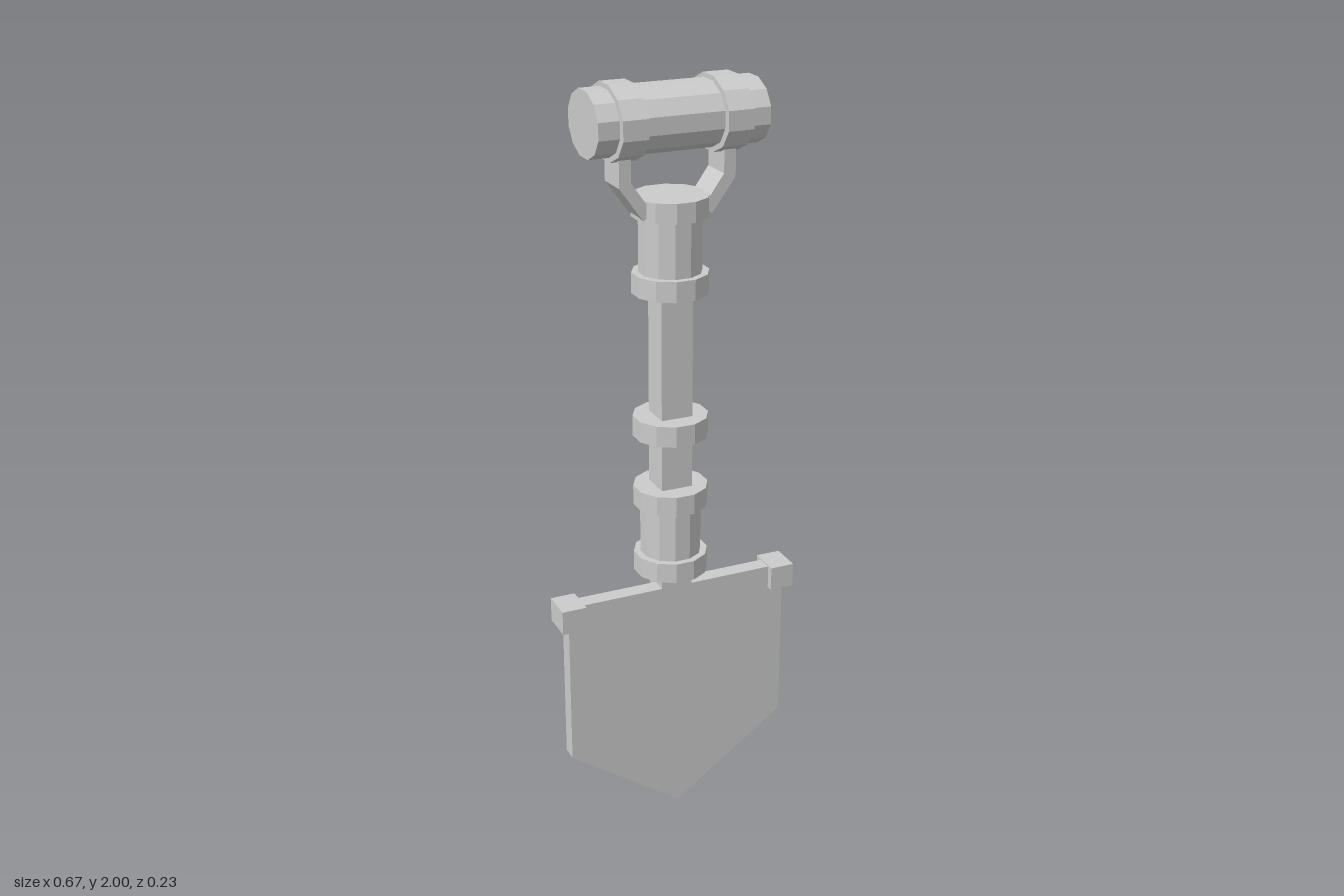
import * as THREE from 'three';

const material = new THREE.MeshStandardMaterial({ color: 0xcccccc, flatShading: true });
const CX = -0.004; // shaft axis
const FLAT = Math.cos(Math.PI / 12);

function add(group, name, geometry) {
  const mesh = new THREE.Mesh(geometry, material);
  mesh.name = name;
  group.add(mesh);
}

function box(x0, x1, y0, y1, z0, z1) {
  return new THREE.BoxGeometry(x1 - x0, y1 - y0, z1 - z0)
    .translate((x0 + x1) / 2, (y0 + y1) / 2, (z0 + z1) / 2);
}

// Twelve-sided drum, radius measured to the flats
function drum(r, length) {
  return new THREE.CylinderGeometry(r / FLAT, r / FLAT, length, 12).rotateY(Math.PI / 12);
}

function upright(r, y0, y1) {
  return drum(r, y1 - y0).translate(CX, (y0 + y1) / 2, 0);
}

// Oval drum lying along x
function lying(ry, rz, x0, x1) {
  return drum(1, x1 - x0).rotateZ(Math.PI / 2).scale(1, ry, rz)
    .translate((x0 + x1) / 2, 1.91, -0.001);
}

function plate(points, z0, z1, holePoints) {
  const vec = (list) => list.map(([x, y]) => new THREE.Vector2(x, y));
  const shape = new THREE.Shape(vec(points));
  if (holePoints) shape.holes.push(new THREE.Path(vec(holePoints)));
  return new THREE.ExtrudeGeometry(shape, { depth: z1 - z0, bevelEnabled: false }).translate(0, 0, z0);
}

export function createModel() {
  const group = new THREE.Group();
  group.name = 'shovel';

  // Cross grip with two collars
  add(group, 'grip', lying(0.079, 0.095, -0.225, 0.215));
  add(group, 'gripCollarRight', lying(0.09, 0.115, -0.172, -0.107));
  add(group, 'gripCollarLeft', lying(0.09, 0.115, 0.095, 0.161));

  // Bent fork arms joining grip and shaft
  for (const side of [-1, 1]) {
    const arm = [[0.152, 1.85], [0.152, 1.76], [0.09, 1.675], [0.07, 1.69], [0.075, 1.705], [0.121, 1.77], [0.121, 1.85]]
      .map(([x, y]) => [CX + side * x, y]);
    add(group, side < 0 ? 'forkArmRight' : 'forkArmLeft', plate(arm, -0.043, 0.046));
  }

  // Square shaft
  add(group, 'shaft', box(-0.046, 0.039, 0.675, 1.69, -0.041, 0.041));

  // Sockets and rings along the shaft
  add(group, 'upperSocket', upright(0.077, 1.5, 1.7));
  add(group, 'lowerSocket', upright(0.077, 0.74, 0.93));
  for (const [y0, y1] of [[1.671, 1.722], [1.477, 1.53], [1.097, 1.152], [0.904, 0.958], [0.714, 0.768]]) {
    add(group, 'shaftRing', upright(0.094, y0, y1));
  }

  // Blade: thin front panel with a raised rim behind
  const outline = [[-0.31, 0.675], [-0.31, 0.22], [0, 0], [0.31, 0.22], [0.31, 0.675]];
  const inner = [[-0.262, 0.62], [-0.262, 0.245], [0, 0.06], [0.262, 0.245], [0.262, 0.62]];
  add(group, 'bladePanel', plate(inner, 0.03, 0.041));
  add(group, 'bladeRim', plate(outline, -0.003, 0.041, inner));

  // Pointed tang running down the back of the blade
  const tang = [[-0.046, 0.69], [-0.046, 0.43], [CX, 0.385], [0.039, 0.43], [0.039, 0.69]];
  add(group, 'tang', plate(tang, -0.041, 0.032));

  // Blocks capping the blade's top corners
  for (const side of [-1, 1]) {
    add(group, side < 0 ? 'cornerBlockRight' : 'cornerBlockLeft',
      box(side * 0.3 - 0.033, side * 0.3 + 0.033, 0.613, 0.678, -0.026, 0.06));
  }
  return group;
}
